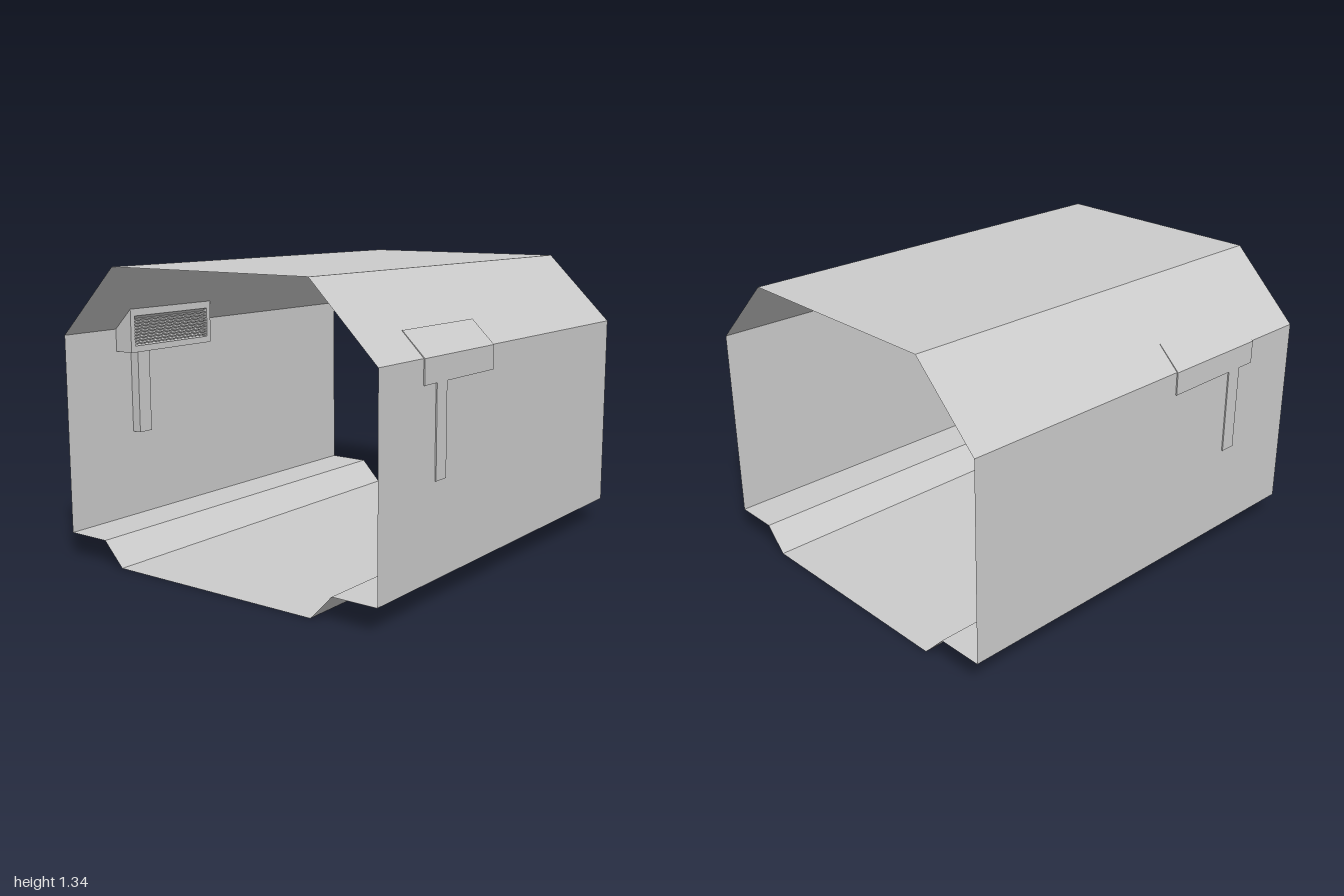
import * as THREE from 'three';

const material = new THREE.MeshStandardMaterial({ color: 0xcccccc, flatShading: true });
const sheetMaterial = new THREE.MeshStandardMaterial({ color: 0xcccccc, flatShading: true, side: THREE.DoubleSide });

// Right half of the tunnel section, from floor to roof
const halfSection = [[0.53, 0], [0.635, 0.11], [0.85, 0.11], [0.85, 1.02], [0.53, 1.335]];

// Thin open-ended tube swept along z, with hard folds
function shellGeometry() {
  const loop = [...halfSection, ...halfSection.map(([x, y]) => [-x, y]).reverse()];
  const positions = [];
  loop.forEach(([ax, ay], i) => {
    const [bx, by] = loop[(i + 1) % loop.length];
    positions.push(ax, ay, 1, ax, ay, -1, bx, by, -1);
    positions.push(ax, ay, 1, bx, by, -1, bx, by, 1);
  });
  const geometry = new THREE.BufferGeometry();
  geometry.setAttribute('position', new THREE.Float32BufferAttribute(positions, 3));
  geometry.computeVertexNormals();
  return geometry;
}

// Section in x and y, mirrored by side, extruded from z0 to z1
function prism(name, points, side, z0, z1) {
  const shape = new THREE.Shape(points.map(([x, y]) => new THREE.Vector2(x * side, y)));
  const geometry = new THREE.ExtrudeGeometry(shape, { depth: z1 - z0, bevelEnabled: false });
  geometry.translate(0, 0, z0);
  const mesh = new THREE.Mesh(geometry, material);
  mesh.name = name;
  return mesh;
}

function createWallUnit(side) {
  const unit = new THREE.Group();
  unit.name = side > 0 ? 'leftWallUnit' : 'rightWallUnit';

  // Housing: solid ends and a middle with a recess facing inwards
  const outline = [[0.75, 0.915], [0.856, 0.915], [0.856, 1.02], [0.75, 1.122]];
  const recess = [[0.75, 1.085], [0.79, 1.065], [0.79, 0.945], [0.75, 0.945]];
  unit.add(
    prism('housingFrontEnd', outline, side, 0.67, 0.695),
    prism('housingBackEnd', outline, side, 0.16, 0.185),
    prism('housingBody', [...outline, ...recess], side, 0.185, 0.67),
  );

  // Louvre slats across the recess
  const count = 9;
  for (let i = 0; i < count; i++) {
    const y = 0.955 + (i * 0.11) / (count - 1);
    const slat = [[0.754, y - 0.003], [0.79, y - 0.003], [0.79, y + 0.003], [0.754, y + 0.003]];
    unit.add(prism('slat', slat, side, 0.185, 0.67));
  }

  // Duct hanging below the housing
  unit.add(prism('duct', [[0.803, 0.52], [0.856, 0.52], [0.856, 0.915], [0.803, 0.915]], side, 0.53, 0.605));
  return unit;
}

export function createModel() {
  const model = new THREE.Group();
  model.name = 'tunnelSection';

  const shell = new THREE.Mesh(shellGeometry(), sheetMaterial);
  shell.name = 'shell';
  model.add(shell, createWallUnit(1), createWallUnit(-1));
  return model;
}
